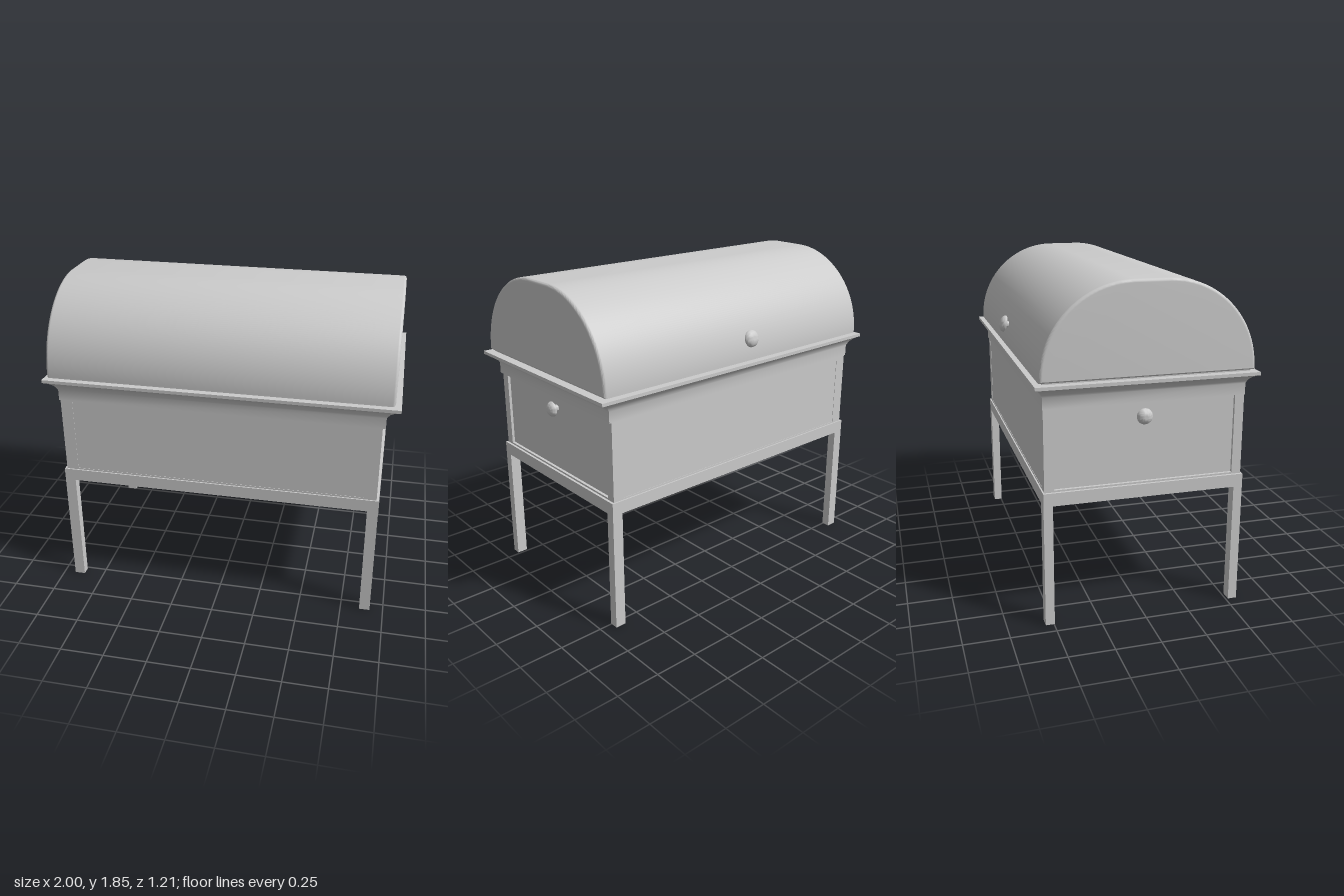
import * as THREE from 'three';
import { toCreasedNormals } from 'three/addons/utils/BufferGeometryUtils.js';

const material = new THREE.MeshStandardMaterial({ color: 0xcccccc });

function add(parent, name, geometry, x = 0, y = 0, z = 0) {
  const mesh = new THREE.Mesh(geometry, material);
  mesh.name = name;
  mesh.position.set(x, y, z);
  parent.add(mesh);
  return mesh;
}

// Box given by half width, bottom, top and half depth
function slab(parent, name, hx, y0, y1, hz, x = 0, z = 0) {
  return add(parent, name, new THREE.BoxGeometry(hx * 2, y1 - y0, hz * 2), x, (y0 + y1) / 2, z);
}

// Mitred rectangular moulding: stacked rings [y, half width, half depth], capped
function mouldingGeometry(levels) {
  const corners = [[1, 1], [1, -1], [-1, -1], [-1, 1]];
  const rings = levels.map(([y, hx, hz]) => corners.map(([sx, sz]) => [sx * hx, y, sz * hz]));
  const pos = [];
  const quad = (a, b, c, d) => pos.push(...a, ...b, ...c, ...a, ...c, ...d);
  for (let i = 0; i < rings.length - 1; i++) {
    for (let k = 0; k < 4; k++) {
      const n = (k + 1) % 4;
      quad(rings[i][k], rings[i][n], rings[i + 1][n], rings[i + 1][k]);
    }
  }
  quad(...rings[rings.length - 1]);
  quad(...rings[0].slice().reverse());
  const geometry = new THREE.BufferGeometry();
  geometry.setAttribute('position', new THREE.Float32BufferAttribute(pos, 3));
  return toCreasedNormals(geometry, 0.6);
}

// Barrel lid: two quarter circles joined by a flat crown, with rounded end edges
function lidGeometry() {
  const bevel = 0.016, flat = 0.09, r = 0.485, spring = 1.36, base = 1.35;
  const s = new THREE.Shape();
  s.moveTo(-flat - r, base);
  s.lineTo(flat + r, base);
  s.lineTo(flat + r, spring);
  s.absarc(flat, spring, r, 0, Math.PI / 2, false);
  s.lineTo(-flat, spring + r);
  s.absarc(-flat, spring, r, Math.PI / 2, Math.PI, false);
  const half = 0.97 - bevel;
  const g = new THREE.ExtrudeGeometry(s, {
    depth: half * 2, curveSegments: 32, bevelEnabled: true,
    bevelSize: bevel, bevelThickness: bevel, bevelOffset: -bevel, bevelSegments: 4,
  });
  g.translate(0, 0, -half);
  g.rotateY(Math.PI / 2);
  return toCreasedNormals(g, 0.6);
}

// Mushroom knob, its axis pointing along the given direction
function addKnob(parent, name, position, direction, radius) {
  const profile = [[0, -0.02], [0.018, -0.02], [0.018, 0.012], [radius * 0.85, 0.013], [radius, 0.019]]
    .map(([x, y]) => new THREE.Vector2(x, y));
  for (let i = 1; i <= 8; i++) {
    const a = (i / 8) * Math.PI / 2;
    profile.push(new THREE.Vector2(radius * Math.cos(a), 0.019 + 0.031 * Math.sin(a)));
  }
  const knob = add(parent, name, toCreasedNormals(new THREE.LatheGeometry(profile, 28), 0.6), ...position);
  knob.quaternion.setFromUnitVectors(new THREE.Vector3(0, 1, 0), direction.normalize());
}

export function createModel() {
  const model = new THREE.Group();
  model.name = 'barrelLidChest';
  const body = new THREE.Group();
  body.name = 'chestOnStand';
  body.position.set(-0.004, 0, 0.009);
  model.add(body);

  // Stand: closed top slab on four square legs
  slab(body, 'standTop', 0.927, 0.685, 0.757, 0.555);
  for (const sx of [-1, 1]) {
    for (const sz of [-1, 1]) {
      slab(body, 'leg', 0.031, 0, 0.686, 0.025, sx * 0.896, sz * 0.53);
      // Corner post of the chest
      slab(body, 'cornerPost', 0.035, 0.755, 1.207, 0.026, sx * 0.878, sz * 0.521);
    }
  }

  // Chest: panels set between the corner posts, with a thin bottom rail
  slab(body, 'chestPanels', 0.897, 0.755, 1.207, 0.545);
  slab(body, 'bottomRail', 0.913, 0.755, 0.767, 0.547);

  // Coved moulding round the chest mouth
  const levels = [
    [1.205, 0], [1.268, 0], [1.281, 0.1], [1.296, 0.26], [1.309, 0.5], [1.318, 0.75], [1.324, 1], [1.342, 1],
  ].map(([y, t]) => [y, 0.925 + 0.073 * t, 0.549 + 0.049 * t]);
  add(body, 'moulding', mouldingGeometry(levels), 0.004, 0, -0.002);

  // Lid, resting just above the moulding
  slab(body, 'lidSeat', 0.95, 1.335, 1.356, 0.555);
  add(body, 'barrelLid', lidGeometry());

  // Knobs: one on each end panel and one low on the back of the lid
  for (const sx of [-1, 1]) {
    addKnob(body, 'sideKnob', [sx * 0.908, 1.132, -0.014], new THREE.Vector3(sx, 0, 0), 0.043);
  }
  const a = 0.238;
  addKnob(body, 'lidKnob',
    [-0.03, 1.36 + 0.49 * Math.sin(a), -0.09 - 0.488 * Math.cos(a)],
    new THREE.Vector3(0, Math.sin(a), -Math.cos(a)), 0.049);

  return model;
}
